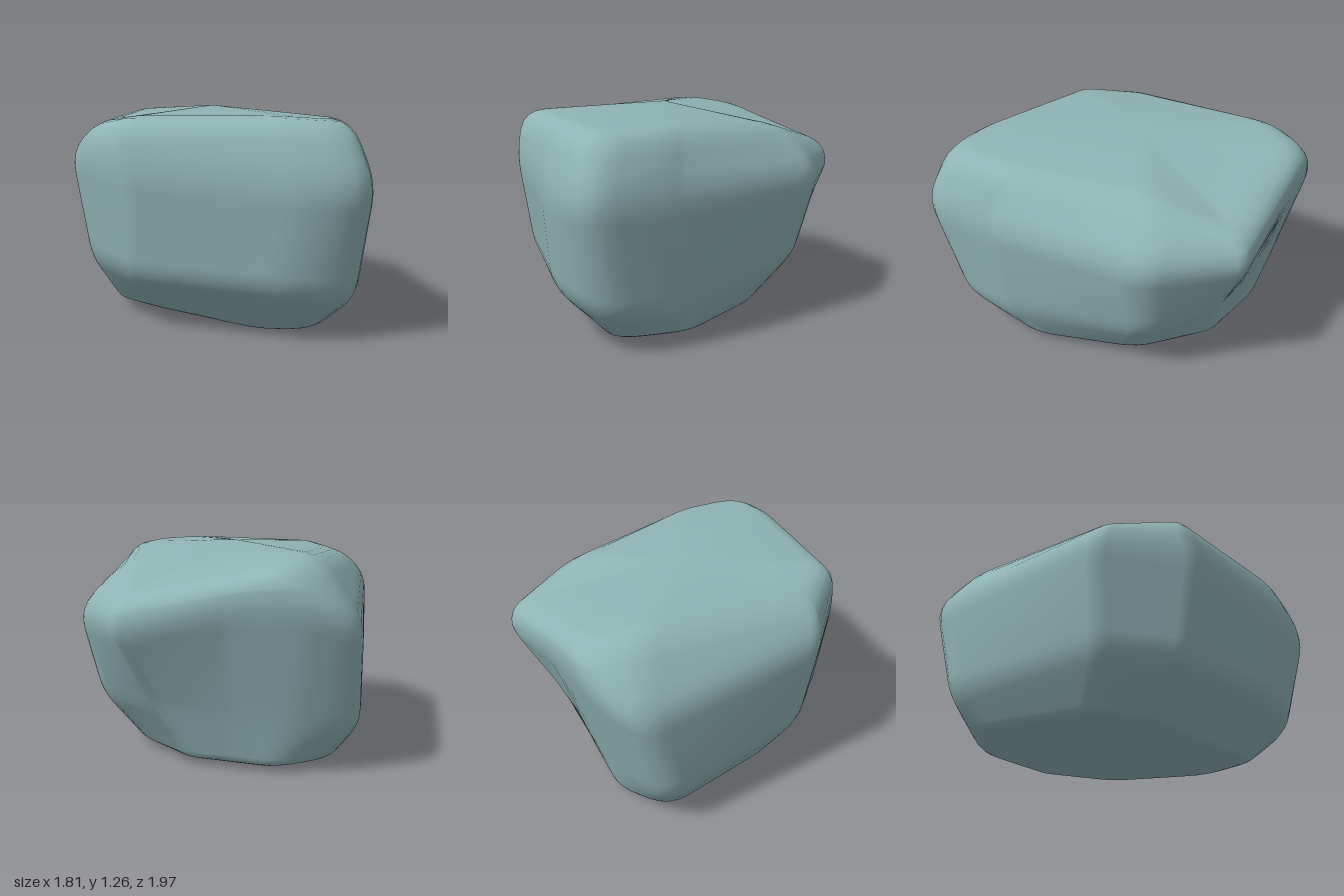
import * as THREE from 'three';
import { mergeVertices } from 'three/addons/utils/BufferGeometryUtils.js';

const V = (a) => new THREE.Vector3(...a);

// Vertical ribs, counter-clockwise from the front: foot, lower wall, shoulder, top edge
const ribs = [
  [[0.3, -0.01, 0.61], [0.46, 0.3, 0.945], [0.52, 0.88, 1.01], [0.47, 1.22, 0.9]],
  [[0.6, 0.02, 0.66], [0.82, 0.22, 0.8], [0.91, 0.88, 0.97], [0.78, 1.2, 0.85]],
  [[0.72, 0.03, 0.25], [0.85, 0.25, 0.42], [0.91, 0.88, 0.5], [0.79, 1.2, 0.42]],
  [[0.45, 0.02, -0.33], [0.65, 0.37, -0.55], [0.78, 0.88, -0.57], [0.52, 1.14, -0.5]],
  [[0.06, 0.03, -0.63], [0.22, 0.4, -0.76], [0.375, 0.85, -1.015], [0.36, 1.01, -0.94]],
  [[-0.25, 0.03, -0.65], [-0.3, 0.35, -0.74], [-0.3, 1.0, -0.925], [-0.28, 1.13, -0.89]],
  [[-0.47, 0.03, -0.66], [-0.6, 0.28, -0.7], [-0.68, 1.0, -0.88], [-0.52, 1.18, -0.88]],
  [[-0.76, 0.05, -0.46], [-0.92, 0.27, -0.55], [-0.92, 0.87, -0.72], [-0.67, 1.23, -0.6]],
  [[-0.6, 0.05, 0.24], [-0.74, 0.36, 0.42], [-0.845, 1.0, 0.455], [-0.68, 1.18, 0.46]],
  [[-0.32, 0.06, 0.46], [-0.42, 0.33, 0.755], [-0.42, 0.95, 0.855], [-0.46, 1.21, 0.79]],
].map((rib) => [[0, 0.03, 0], ...rib, [-0.05, 1.265, 0]].map(V));

// Softness of each rib's corner and of each level's edge
const ribReach = [0.16, 0.17, 0.12, 0.12, 0.05, 0.12, 0.14, 0.14, 0.06, 0.06];
const levelReach = [0, 0.06, 0.1, 0.13, 0.14];

// Replaces a corner by a short curve of n + 1 points
function roundCorner(prev, p, next, reach, n = 4) {
  const toward = (q) => {
    const len = p.distanceTo(q);
    return len < 1e-6 ? p.clone() : p.clone().lerp(q, Math.min(0.45, reach / len));
  };
  return new THREE.QuadraticBezierCurve3(toward(prev), p, toward(next)).getPoints(n);
}

const roundRing = (ring) => ring.flatMap((p, i) =>
  roundCorner(ring.at(i - 1), p, ring[(i + 1) % ring.length], ribReach[i]));

const roundPath = (path) => path.flatMap((p, i) =>
  i === 0 || i === path.length - 1 ? [p] : roundCorner(path[i - 1], p, path[i + 1], levelReach[i]));

function boulderGeometry() {
  // Round every level around the body, then every rib from base to crown
  const rings = ribs[0].map((_, level) => roundRing(ribs.map((rib) => rib[level])));
  const paths = rings[0].map((_, c) => roundPath(rings.map((ring) => ring[c])));
  const rows = paths[0].length;
  const positions = paths.flatMap((path) => path.flatMap((p) => p.toArray()));

  // Skin between neighbouring ribs, with single triangles at base and crown
  const index = [];
  for (let c = 0; c < paths.length; c++) {
    const a = c * rows, b = ((c + 1) % paths.length) * rows;
    for (let r = 0; r < rows - 1; r++) {
      if (r > 0) index.push(a + r, b + r, b + r + 1);
      if (r < rows - 2) index.push(a + r, b + r + 1, a + r + 1);
      else index.push(a + r, b + r, a + r + 1);
    }
  }
  const skin = new THREE.BufferGeometry();
  skin.setAttribute('position', new THREE.Float32BufferAttribute(positions, 3));
  skin.setIndex(index);
  const geo = mergeVertices(skin, 1e-4);
  geo.computeVertexNormals();
  return geo;
}

export function createModel() {
  const stone = new THREE.MeshStandardMaterial({ color: 0x8fb3b5 });
  stone.name = 'blue grey stone';
  const boulder = new THREE.Mesh(boulderGeometry(), stone);
  boulder.name = 'boulder';
  const group = new THREE.Group();
  group.name = 'rock';
  group.add(boulder);
  return group;
}
